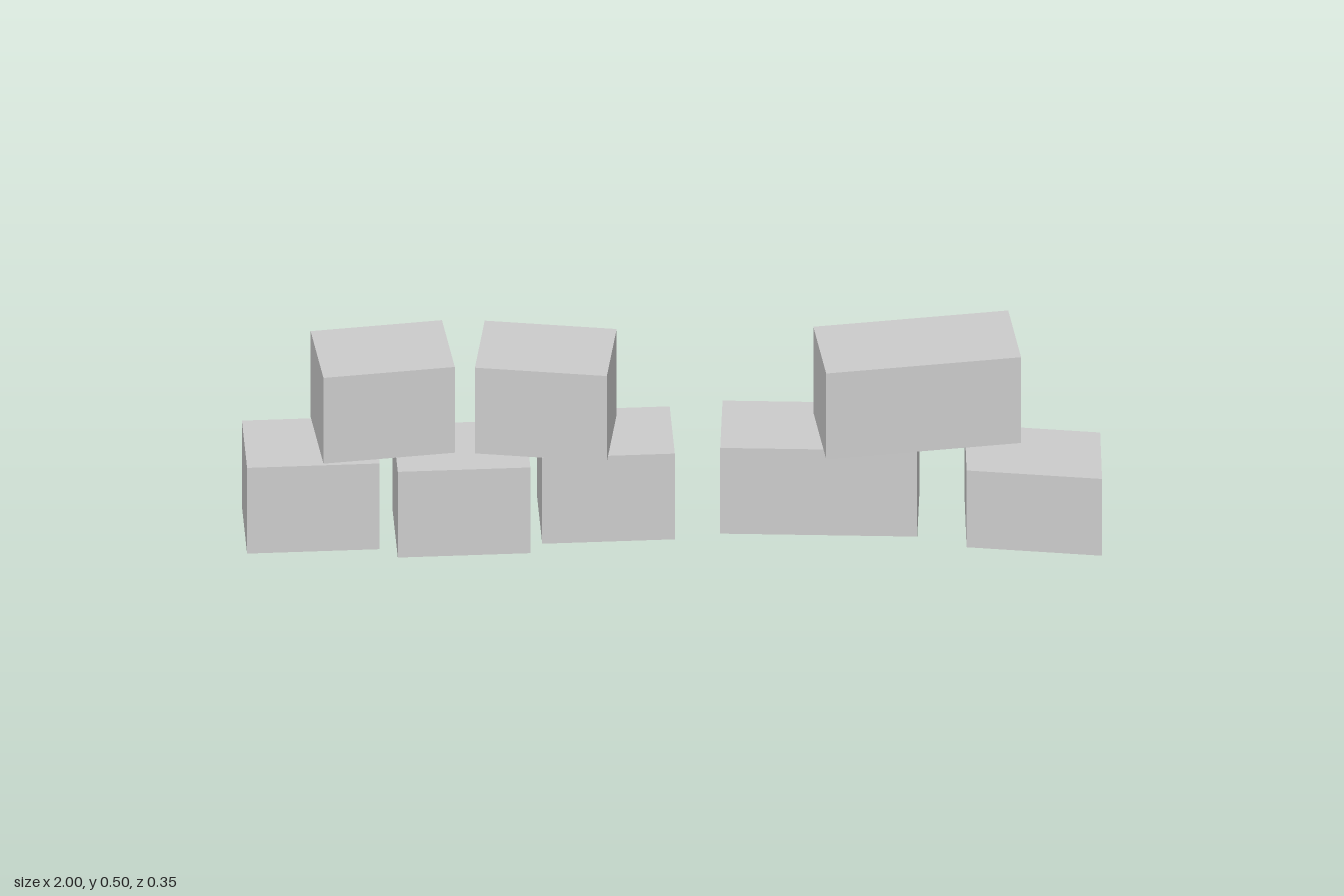
import * as THREE from 'three';

const HEIGHT = 0.24, DEPTH = 0.2, SHORT = 0.31, LONG = 0.46;

// name, length, centre x, bottom y, centre z, turn about y
const BLOCKS = [
  // bottom course
  ['bottomBlock1', SHORT, -0.845, 0, -0.056, 0],
  ['bottomBlock2', SHORT, -0.495, 0, -0.018, 0],
  ['bottomBlock3', SHORT, -0.155, 0, -0.056, 0],
  ['bottomLongBlock', LONG, 0.345, 0, -0.053, -0.088],
  // upper course
  ['upperBlock1', SHORT, -0.677, 0.255, -0.054, 0.09],
  ['upperBlock2', SHORT, -0.297, 0.255, -0.034, -0.175],
  ['upperLongBlock', LONG, 0.571, 0.242, -0.028, 0.09],
];

export function createModel() {
  const group = new THREE.Group();
  group.name = 'stoneBlocks';
  const material = new THREE.MeshStandardMaterial({ color: 0xcccccc, flatShading: true });

  const add = (name, geometry, x, y, z, turn = 0) => {
    const mesh = new THREE.Mesh(geometry, material);
    mesh.name = name;
    mesh.position.set(x, y, z);
    mesh.rotation.y = turn;
    group.add(mesh);
  };

  for (const [name, length, x, y, z, turn] of BLOCKS) {
    add(name, new THREE.BoxGeometry(length, HEIGHT, DEPTH), x, y + HEIGHT / 2, z, turn);
  }

  // lower end block with a slightly skewed footprint
  const skewed = new THREE.BoxGeometry(1, 1, 1).applyMatrix4(new THREE.Matrix4().makeBasis(
    new THREE.Vector3(0.3135, 0, 0.055),
    new THREE.Vector3(0, 0.215, 0),
    new THREE.Vector3(-0.0075, 0, 0.196),
  ));
  add('endBlock', skewed, 0.838, 0.1075, 0.048);

  return group;
}
